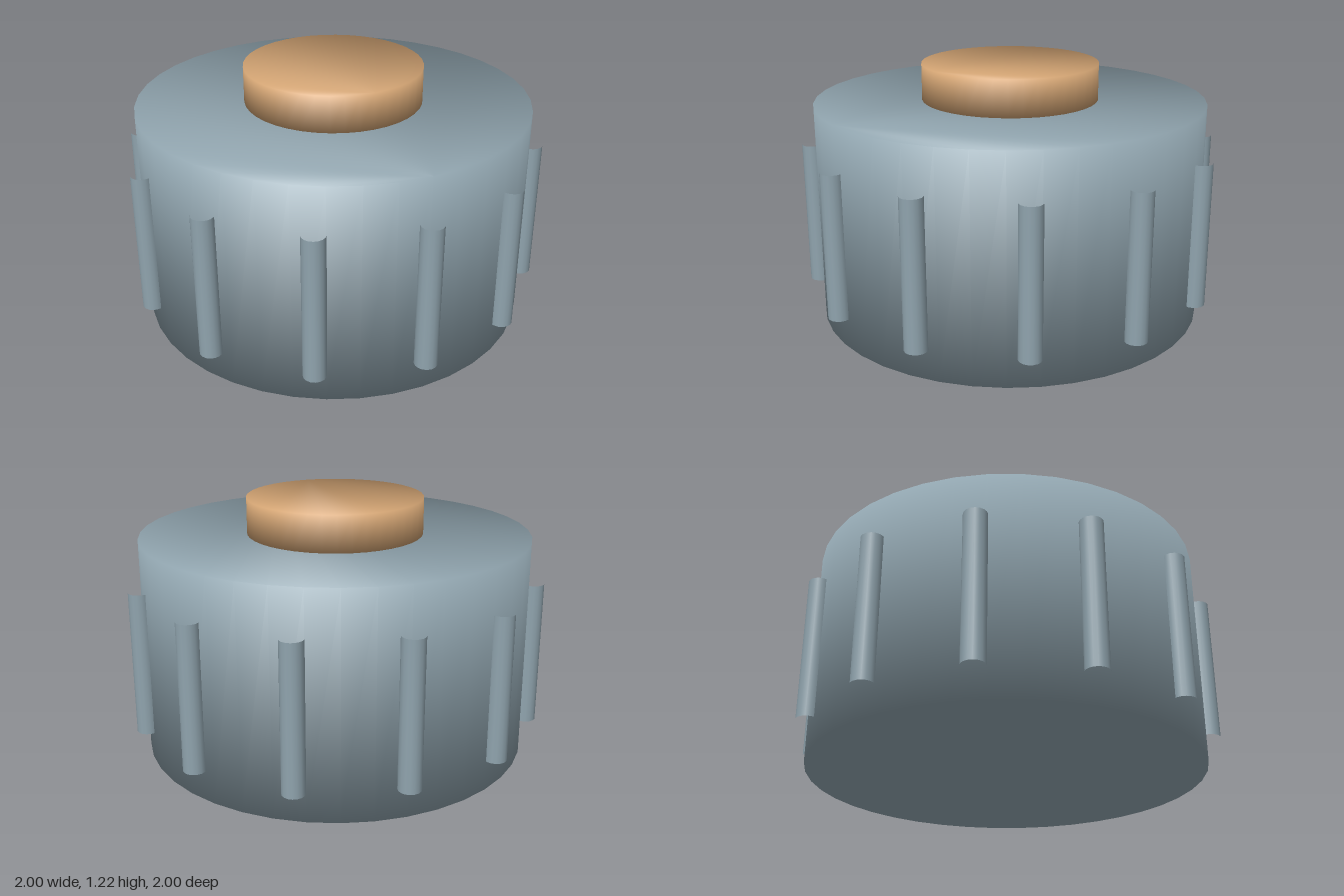
import * as THREE from 'three';

const SIDES = 40;

// Closed drum whose caps and wall share rim vertices, so shading rolls softly over the rims
function softDrum(radius, y0, y1) {
  const pos = [], nor = [], idx = [];
  const n = Math.SQRT1_2;
  for (let i = 0; i < SIDES; i++) {
    const a = (i / SIDES) * Math.PI * 2;
    const s = Math.sin(a), c = Math.cos(a);
    pos.push(radius * s, y0, radius * c, radius * s, y1, radius * c);
    nor.push(s * n, -n, c * n, s * n, n, c * n);
  }
  for (let i = 0; i < SIDES; i++) {
    const b = i * 2, t = b + 1;
    const b2 = ((i + 1) % SIDES) * 2, t2 = b2 + 1;
    idx.push(b, b2, t2, b, t2, t); // wall
    if (i > 0 && i < SIDES - 1) idx.push(1, t, t2, 0, b2, b); // cap fans
  }
  const g = new THREE.BufferGeometry();
  g.setAttribute('position', new THREE.Float32BufferAttribute(pos, 3));
  g.setAttribute('normal', new THREE.Float32BufferAttribute(nor, 3));
  g.setIndex(idx);
  return g;
}

export function createModel() {
  const model = new THREE.Group();
  model.name = 'ribbedCap';

  const blueGrey = new THREE.MeshStandardMaterial({ color: 0x90a4ae });
  blueGrey.name = 'blueGrey';
  const tan = new THREE.MeshStandardMaterial({ color: 0xd4a574 });
  tan.name = 'tan';

  // Main drum
  const body = new THREE.Mesh(softDrum(0.932, 0, 1.042), blueGrey);
  body.name = 'body';
  model.add(body);

  // Raised disc on top
  const knob = new THREE.Mesh(softDrum(0.422, 1.042, 1.215), tan);
  knob.name = 'topDisc';
  model.add(knob);

  // Twelve open grip ribs, half sunk into the wall
  const ribs = new THREE.Group();
  ribs.name = 'gripRibs';
  const ribGeo = new THREE.CylinderGeometry(0.053, 0.053, 0.69, 16, 1, true);
  for (let i = 0; i < 12; i++) {
    const a = (i / 12) * Math.PI * 2;
    const rib = new THREE.Mesh(ribGeo, blueGrey);
    rib.name = 'gripRib' + (i + 1);
    rib.position.set(0.947 * Math.sin(a), 0.487, 0.947 * Math.cos(a));
    ribs.add(rib);
  }
  model.add(ribs);

  return model;
}
